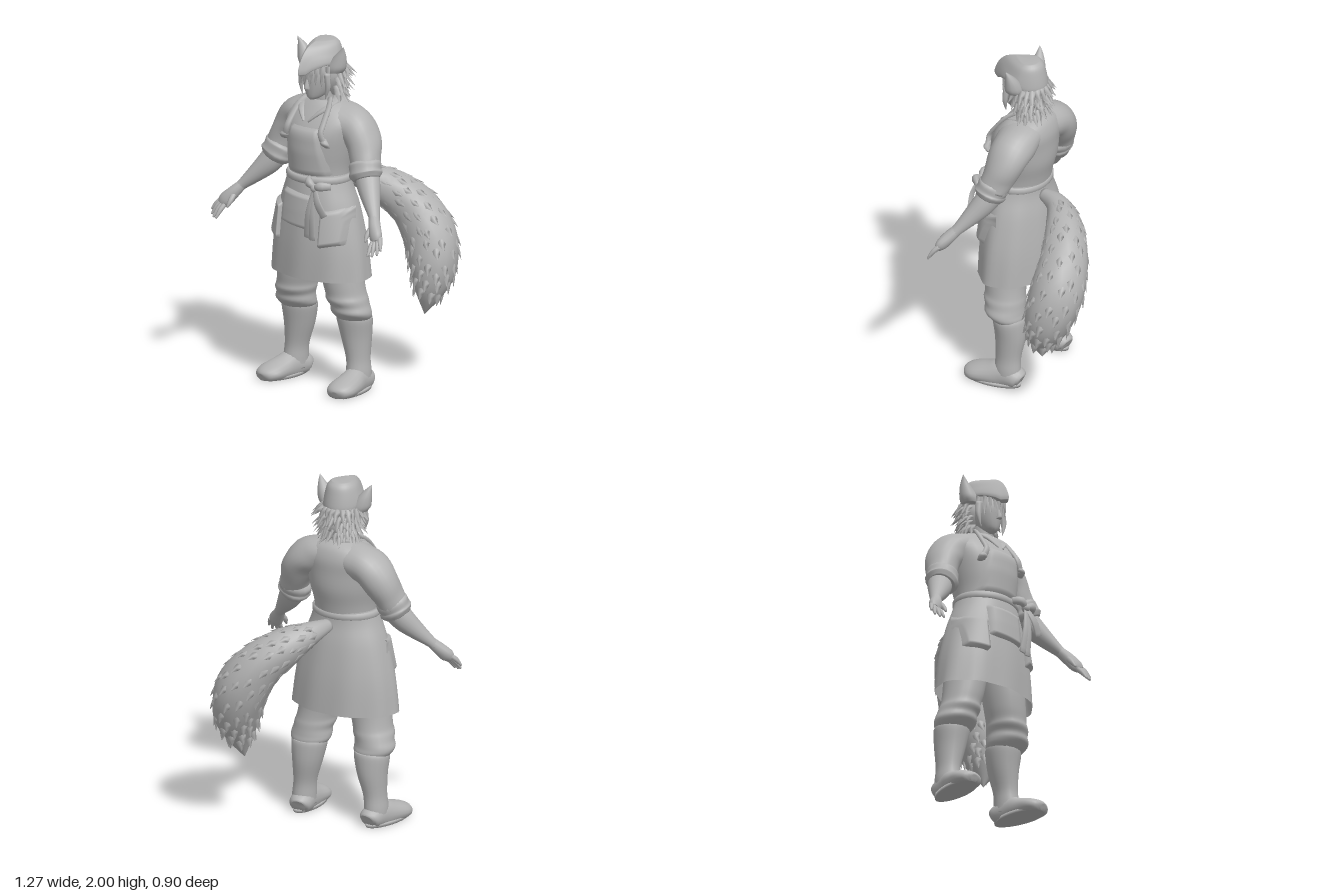
import * as THREE from 'three';
import { mergeGeometries } from 'three/addons/utils/BufferGeometryUtils.js';

const V = (x, y, z) => new THREE.Vector3(x, y, z);
let seed = 7;
const rnd = () => (seed = (seed * 16807) % 2147483647) / 2147483647;

// Catmull-Rom sample of rows [x, y, z, halfWidth, halfDepth]
function at(rows, t) {
  const f = Math.min(Math.max(t, 0), 1) * (rows.length - 1);
  const i = Math.min(Math.floor(f), rows.length - 2), k = f - i;
  const r = j => rows[Math.min(Math.max(j, 0), rows.length - 1)];
  return rows[0].map((_, c) => {
    const [a, b, d, e] = [r(i - 1)[c], r(i)[c], r(i + 1)[c], r(i + 2)[c]];
    return 0.5 * (2 * b + (d - a) * k + (2 * a - 5 * b + 4 * d - e) * k * k + (3 * b - a - 3 * d + e) * k ** 3);
  });
}

// Cross-section axes: horizontal without ref, otherwise square to the path
function frame(rows, t, ref) {
  if (!ref) return { u: V(1, 0, 0), v: V(0, 0, 1) };
  const p = at(rows, t - 0.01), q = at(rows, t + 0.01);
  const tan = V(q[0] - p[0], q[1] - p[1], q[2] - p[2]).normalize();
  const u = tan.clone().cross(ref).normalize();
  return { u, v: u.clone().cross(tan), tan };
}

// Smooth body through elliptical rows; shape(angle, t) gives [across, deep]
function loft(rows, { n = 18, steps = 4, ref = null, open = false, shape = a => [Math.cos(a), Math.sin(a)] } = {}) {
  const m = (rows.length - 1) * steps, pos = [], idx = [];
  for (let i = 0; i <= m; i++) {
    const t = i / m, r = at(rows, t), { u, v } = frame(rows, t, ref);
    for (let j = 0; j < n; j++) {
      const [a, b] = shape(j / n * Math.PI * 2, t);
      const p = V(r[0], r[1], r[2]).addScaledVector(u, a * r[3]).addScaledVector(v, b * r[4]);
      pos.push(p.x, Math.max(p.y, 0), p.z);
      if (i < m) {
        const A = i * n + j, B = i * n + (j + 1) % n;
        idx.push(A, B, A + n, B, B + n, A + n);
      }
    }
  }
  if (!open) for (const [row, o] of [[rows[0], 0], [rows.at(-1), m * n]]) {
    const c = pos.length / 3;
    pos.push(row[0], row[1], row[2]);
    for (let j = 0; j < n; j++) {
      const A = o + j, B = o + (j + 1) % n;
      o ? idx.push(A, B, c) : idx.push(B, A, c);
    }
  }
  // Turn the faces outward
  const c0 = V(...rows[0]), pt = k => V(pos[k * 3], pos[k * 3 + 1], pos[k * 3 + 2]).sub(c0);
  let vol = 0;
  for (let k = 0; k < idx.length; k += 3) vol += pt(idx[k]).dot(pt(idx[k + 1]).cross(pt(idx[k + 2])));
  if (vol < 0) idx.reverse();
  const g = new THREE.BufferGeometry();
  g.setAttribute('position', new THREE.Float32BufferAttribute(pos, 3));
  g.setIndex(idx);
  g.computeVertexNormals();
  return g;
}

// Front surface depth of an upright loft
function front(rows, x, y) {
  let i = 0;
  while (i < rows.length - 2 && y > rows[i + 1][1]) i++;
  const k = (y - rows[i][1]) / (rows[i + 1][1] - rows[i][1]);
  const r = rows[i].map((a, c) => a + (rows[i + 1][c] - a) * k);
  return r[2] + r[4] * Math.sqrt(Math.max(0, 1 - (x / r[3]) ** 2));
}

// Cloth panel on a front surface, thick inside and meeting it at the rim
function panel(rows, x0, x1, y0, y1, { taper = 1, tilt = 0, puff = 0.02 } = {}) {
  const g = new THREE.PlaneGeometry(1, 1, 14, 14), p = g.attributes.position;
  for (let i = 0; i < p.count; i++) {
    const a = p.getX(i), b = p.getY(i), y = y0 + (y1 - y0) * (b + 0.5) + tilt * a;
    const x = (x0 + x1) / 2 + (x1 - x0) * a * (1 + (taper - 1) * (b + 0.5));
    const rim = Math.abs(a) > 0.49 || Math.abs(b) > 0.49;
    p.setXYZ(i, x, y, front(rows, x, y) + (rim ? -0.004 : puff));
  }
  g.computeVertexNormals();
  return g;
}

export function createModel() {
  const model = new THREE.Group();
  const grey = new THREE.MeshStandardMaterial({ color: 0xb2b2b2, side: THREE.DoubleSide });
  grey.name = 'plain grey';
  const add = (name, geo) => {
    const m = new THREE.Mesh(geo, grey);
    m.name = name;
    model.add(m);
  };
  const Z = V(0, 0, 1), Y = V(0, 1, 0), X = V(1, 0, 0);
  const folds = (amp, k, w) => (a, t) => {
    const f = 1 + amp * Math.sin(k * a + w * t);
    return [Math.cos(a) * f, Math.sin(a) * f];
  };
  const tuft = (b, dir, len, width, ref) => {
    const row = (k, w) => [b.x + dir.x * len * k, b.y + dir.y * len * k, b.z + dir.z * len * k, w, w * 0.35];
    return loft([row(0, width), row(0.45, width * 0.8), row(1, 0.001)], { n: 4, steps: 1, ref });
  };

  // Shirt body and apron skirt
  const torso = [[0, 1.18, 0.205, 0.175, 0.145], [0, 1.28, 0.2, 0.183, 0.158], [0, 1.38, 0.192, 0.205, 0.175],
    [0, 1.48, 0.187, 0.225, 0.175], [0, 1.56, 0.167, 0.235, 0.156], [0, 1.625, 0.155, 0.175, 0.122], [0, 1.66, 0.16, 0.08, 0.085]];
  const skirt = [[0, 0.655, 0.2, 0.325, 0.209], [0, 0.85, 0.203, 0.3, 0.203], [0, 1.05, 0.207, 0.252, 0.184],
    [0, 1.17, 0.212, 0.208, 0.165], [0, 1.25, 0.206, 0.184, 0.156]];
  add('shirt', loft(torso, { n: 32 }));
  add('apronSkirt', loft(skirt, { n: 48, open: true, shape: (a, t) => folds(0.018 * (1 - t), 9, 2)(a, t) }));
  add('waistband', loft([1.2, 1.21, 1.235, 1.245].map((y, i) => [0, y, 0.212, i % 3 ? 0.2 : 0.188, i % 3 ? 0.167 : 0.155]), { n: 32, steps: 2 }));
  add('bib', panel(torso, -0.165, 0.165, 1.24, 1.53, { taper: 0.62, puff: 0.015 }));
  add('centrePocket', panel(skirt, -0.135, 0.1, 0.95, 1.15, { tilt: -0.02 }));

  // Bow at the waist
  const bow = V(0.13, 1.2, 0.385);
  for (const [x, y] of [[0.055, 1.235], [0.215, 1.215]])
    add('bowLoop', loft([[bow.x, bow.y, 0.395, 0.012, 0.012], [(bow.x + x) / 2, (bow.y + y) / 2 + 0.01, 0.405, 0.026, 0.022],
      [x, y, 0.36, 0.02, 0.014]], { n: 10, ref: Z }));
  add('bowKnot', new THREE.SphereGeometry(0.025, 10, 8).translate(bow.x, bow.y, bow.z + 0.015));
  for (const [x, y, w] of [[0.09, 0.91, 0.026], [0.125, 0.9, 0.022], [0.215, 1.05, 0.026]])
    add('bowTail', loft([[0.13, 1.2, 0.4, 0.015, 0.007], [(0.13 + x) / 2, (1.2 + y) / 2, 0.425, w, 0.007], [x, y, 0.415, w, 0.007]], { n: 8, ref: Z }));

  // Neck, head and cap
  add('neck', loft([[0, 1.58, 0.17, 0.07, 0.07], [0, 1.65, 0.18, 0.06, 0.062], [0, 1.75, 0.19, 0.06, 0.065]]));
  add('head', loft([[0, 1.668, 0.265, 0.015, 0.025], [0, 1.69, 0.235, 0.047, 0.068], [0, 1.75, 0.205, 0.078, 0.11],
    [0, 1.82, 0.195, 0.09, 0.125], [0, 1.92, 0.19, 0.08, 0.11]]));
  add('nose', loft([[0, 1.735, 0.312, 0.016, 0.022], [0, 1.75, 0.315, 0.014, 0.022], [0, 1.81, 0.3, 0.008, 0.015]], { n: 8 }));
  const drop = a => {
    const s = Math.sin(a), c = Math.cos(a);
    return s > 0 ? [Math.sign(c) * (1 - s ** 1.5), s * 1.35] : [c, s * 0.8];
  };
  // The peak droops to a point with arched sides
  const cap = loft([[0, 1.845, 0.18, 0.108, 0.158], [0, 1.87, 0.18, 0.11, 0.158], [0, 1.925, 0.175, 0.1, 0.14],
    [0, 1.975, 0.165, 0.082, 0.11], [0, 2, 0.155, 0.055, 0.065]], { n: 32, shape: drop });
  const cp = cap.attributes.position;
  for (let i = 0; i < cp.count; i++) {
    const low = Math.max(0, (1.93 - cp.getY(i)) / 0.085), z = cp.getZ(i);
    cp.setY(i, cp.getY(i) + low * (0.03 * Math.sin(Math.PI * Math.min(1, Math.max(0, (z - 0.12) / 0.22))) - (z > 0.34 ? 0.015 : 0)));
  }
  cap.computeVertexNormals();
  add('cap', cap);

  // Shaggy hair
  add('hairBase', loft([[0, 1.68, 0.13, 0.07, 0.06], [0, 1.74, 0.14, 0.1, 0.095], [0, 1.8, 0.15, 0.115, 0.1], [0, 1.88, 0.16, 0.1, 0.088]]));
  const hair = [];
  for (let r = 0; r < 6; r++) for (let i = 0; i < 15; i++) {
    const a = Math.PI * (0.86 + 1.28 * (i + (r % 2) * 0.5) / 15), out = V(Math.cos(a), 0, Math.sin(a));
    const b = V(out.x * (0.085 + r * 0.005), 1.715 + r * 0.028, 0.15 + out.z * (0.07 + r * 0.004));
    hair.push(tuft(b, out.clone().multiplyScalar(0.45 + rnd() * 0.4).add(V(rnd() * 0.4 - 0.2, -0.8, 0)).normalize(), 0.06 + rnd() * 0.04, 0.024, out));
  }
  for (let i = 0; i < 9; i++) {
    const x = (i - 4) * 0.022;
    hair.push(tuft(V(x, 1.865, 0.315 - x * x * 9), V(x * 1.5, -1, 0.05).normalize(), 0.07 + Math.abs(x) * 0.6 + rnd() * 0.02, 0.02, Z));
  }
  add('hair', mergeGeometries(hair));

  // Paired parts
  for (const s of [1, -1]) {
    const side = s > 0 ? 'left' : 'right';
    const pair = (name, rows, opt) => add(side + name, loft(rows.map(([x, ...r]) => [x * s, ...r]), opt));

    pair('Ear', [[0.098, 1.83, 0.19, 0.048, 0.05], [0.108, 1.86, 0.19, 0.058, 0.052], [0.13, 1.91, 0.19, 0.042, 0.038],
      [0.152, 1.955, 0.195, 0.02, 0.018], [0.17, 1.988, 0.205, 0.001, 0.001]], { n: 12 });
    pair('Sideburn', [[0.09, 1.83, 0.25, 0.02, 0.02], [0.1, 1.75, 0.255, 0.018, 0.014], [0.085, 1.68, 0.26, 0.002, 0.002]], { n: 6 });
    pair('Collar', [[0.03, 1.665, 0.09, 0.02, 0.012], [0.085, 1.65, 0.17, 0.03, 0.012], [0.07, 1.615, 0.265, 0.032, 0.012], [0.015, 1.55, 0.328, 0.008, 0.006]], { n: 8, ref: Y });
    pair('ApronStrap', [[0.07, 1.67, 0.2, 0.02, 0.012], [0.105, 1.63, 0.255, 0.02, 0.012], [0.118, 1.56, 0.31, 0.02, 0.012],
      [0.125, 1.5, 0.345, 0.02, 0.012], [0.15, 1.44, 0.335, 0.022, 0.014]], { n: 8, ref: Z });
    pair('StrapKnot', [[0.14, 1.475, 0.335, 0.016, 0.012], [0.15, 1.45, 0.34, 0.03, 0.02], [0.16, 1.425, 0.325, 0.018, 0.012]], { n: 8 });
    add(side + 'Pocket', panel(skirt, s * 0.205 - 0.06, s * 0.205 + 0.06, 0.86, 1.07, { tilt: s * 0.025, puff: 0.03 }));

    // Sloping shoulder and sleeve, forearm and hand
    pair('Sleeve', [[0.04, 1.575, 0.15, 0.085, 0.115], [0.13, 1.548, 0.143, 0.1, 0.126], [0.21, 1.512, 0.138, 0.105, 0.12], [0.268, 1.442, 0.145, 0.097, 0.108],
      [0.303, 1.365, 0.167, 0.086, 0.092], [0.325, 1.31, 0.183, 0.081, 0.085]], { n: 24, ref: Z, shape: folds(0.02, 3, 14) });
    pair('SleeveCuff', [[0.305, 1.345, 0.177, 0.08, 0.08], [0.313, 1.325, 0.182, 0.096, 0.091], [0.325, 1.295, 0.192, 0.093, 0.088],
      [0.333, 1.275, 0.197, 0.097, 0.09], [0.345, 1.25, 0.204, 0.076, 0.073]], { ref: Z, shape: folds(0.02, 4, 6) });
    pair('Forearm', [[0.325, 1.29, 0.18, 0.07, 0.07], [0.37, 1.22, 0.215, 0.068, 0.065], [0.43, 1.15, 0.26, 0.05, 0.05],
      [0.49, 1.085, 0.305, 0.031, 0.033], [0.505, 1.065, 0.32, 0.03, 0.032]], { ref: Z });
    pair('Palm', [[0.49, 1.085, 0.305, 0.028, 0.03], [0.525, 1.04, 0.34, 0.036, 0.035], [0.56, 0.995, 0.37, 0.043, 0.03], [0.575, 0.97, 0.385, 0.028, 0.018]], { n: 12, ref: Z });
    for (const [bx, by, bz, tx, ty, tz] of [[0.59, 0.995, 0.37, 0.63, 0.935, 0.41], [0.582, 0.985, 0.378, 0.617, 0.91, 0.425],
      [0.57, 0.975, 0.385, 0.592, 0.9, 0.44], [0.555, 0.97, 0.385, 0.566, 0.9, 0.447]])
      pair('Finger', [[bx, by, bz, 0.013, 0.015], [(bx + tx) / 2, (by + ty) / 2 + 0.006, (bz + tz) / 2, 0.013, 0.014], [tx, ty, tz, 0.006, 0.006]], { n: 8, ref: Z });
    pair('Thumb', [[0.515, 1.04, 0.345, 0.017, 0.018], [0.51, 1, 0.385, 0.015, 0.015], [0.515, 0.965, 0.41, 0.006, 0.006]], { n: 8, ref: X });

    // Baggy trouser leg gathered into the boot
    pair('TrouserLeg', [[0.125, 0.92, 0.19, 0.115, 0.13], [0.15, 0.74, 0.2, 0.116, 0.127], [0.168, 0.63, 0.2, 0.113, 0.122], [0.182, 0.565, 0.195, 0.111, 0.118],
      [0.19, 0.53, 0.193, 0.118, 0.12], [0.2, 0.495, 0.182, 0.115, 0.112], [0.206, 0.46, 0.178, 0.119, 0.114],
      [0.205, 0.43, 0.162, 0.11, 0.104], [0.205, 0.4, 0.15, 0.085, 0.08]], { n: 24, shape: (a, t) => folds(0.035 * t, 2, s * 9)(s > 0 ? a : Math.PI - a, s * t) });
    pair('BootShaft', [[0.202, 0.43, 0.15, 0.1, 0.095], [0.205, 0.4, 0.147, 0.104, 0.098], [0.212, 0.3, 0.14, 0.086, 0.09],
      [0.228, 0.18, 0.143, 0.065, 0.075], [0.235, 0.1, 0.145, 0.066, 0.08], [0.235, 0.04, 0.145, 0.065, 0.08]]);
    pair('BootFoot', [[0.225, 0.04, 0.06, 0.04, 0.04], [0.228, 0.05, 0.085, 0.065, 0.06], [0.24, 0.055, 0.17, 0.068, 0.085], [0.255, 0.045, 0.25, 0.08, 0.068],
      [0.266, 0.035, 0.33, 0.086, 0.052], [0.272, 0.025, 0.38, 0.06, 0.038], [0.274, 0.02, 0.395, 0.02, 0.02]], { ref: Y });
    pair('BootSole', [[0.252, 0, 0.225, 0.082, 0.165], [0.252, 0.018, 0.225, 0.084, 0.168]], {
      n: 24, steps: 1, shape: a => [Math.cos(a) * (0.92 + 0.1 * Math.sin(a)) + s * 0.2 * Math.sin(a), Math.sin(a)]
    });
  }

  // Bushy tail with overlapping tufts
  const tail = [[0.02, 1.165, 0.05, 0.035, 0.035], [0.055, 1.15, -0.07, 0.065, 0.065], [0.15, 1.09, -0.18, 0.108, 0.108],
    [0.275, 0.98, -0.265, 0.134, 0.134], [0.375, 0.83, -0.292, 0.152, 0.152], [0.425, 0.67, -0.265, 0.138, 0.138],
    [0.43, 0.53, -0.23, 0.088, 0.088], [0.41, 0.39, -0.21, 0.002, 0.002]];
  add('tail', loft(tail, { n: 20, steps: 5, ref: X, shape: folds(0.015, 5, 20) }));
  const tufts = [];
  for (let i = 0; i < 15; i++) for (let j = 0; j < 9; j++) {
    const t = 0.14 + i * 0.05 + rnd() * 0.03, a = (j + (i % 2) * 0.5 + rnd() * 0.3) / 9 * Math.PI * 2;
    const r = at(tail, t), { u, v, tan } = frame(tail, t, X);
    const out = u.clone().multiplyScalar(Math.cos(a)).addScaledVector(v, Math.sin(a));
    const b = V(r[0], r[1], r[2]).addScaledVector(out, r[3] - 0.008);
    const lean = (at(tail, t + 0.05)[3] - r[3]) * 9 + 0.26;
    tufts.push(tuft(b, tan.clone().addScaledVector(out, Math.max(lean, -0.55)).normalize(), 0.07, 0.024, out));
  }
  add('tailTufts', mergeGeometries(tufts));
  return model;
}
